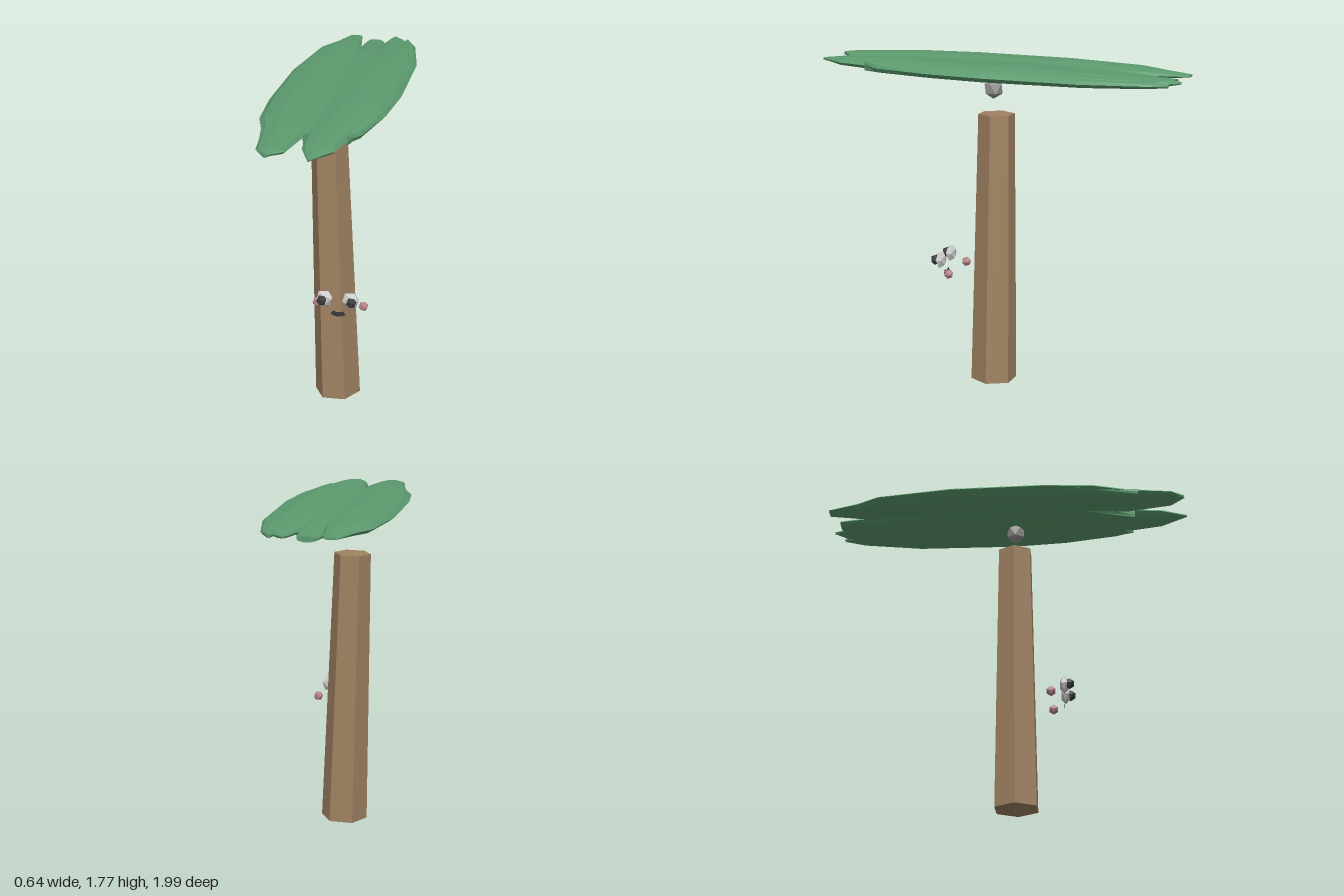
import * as THREE from 'three';

const mat = (color, side = THREE.FrontSide) =>
  new THREE.MeshStandardMaterial({ color, flatShading: true, side });

function add(group, name, geometry, material, x = 0, y = 0, z = 0) {
  const mesh = new THREE.Mesh(geometry, material);
  mesh.name = name;
  mesh.position.set(x, y, z);
  group.add(mesh);
  return mesh;
}

// Closed leaf lofted along z; each station is [z, xMin, xMax]
function leafGeometry(stations, height) {
  const sides = 10, pos = [], index = [];
  for (const [z, a, b] of stations) {
    const h = height * Math.sqrt(Math.max(0.02, 1 - z * z));
    for (let i = 0; i < sides; i++) {
      const t = (i / sides) * Math.PI * 2;
      pos.push((a + b) / 2 + Math.cos(t) * (b - a) / 2, Math.sin(t) * h, z);
    }
  }
  const last = stations.length - 1;
  for (let s = 0; s < last; s++) {
    for (let i = 0; i < sides; i++) {
      const p = s * sides + i, q = s * sides + (i + 1) % sides;
      index.push(p, q, q + sides, p, q + sides, p + sides);
    }
  }
  // End caps
  for (let i = 1; i < sides - 1; i++) {
    index.push(0, i + 1, i);
    index.push(last * sides, last * sides + i, last * sides + i + 1);
  }
  const g = new THREE.BufferGeometry();
  g.setAttribute('position', new THREE.Float32BufferAttribute(pos, 3));
  g.setIndex(index);
  g.computeVertexNormals();
  return g;
}

export function createModel() {
  const model = new THREE.Group();
  model.name = 'palmTree';

  const bark = mat(0xa08262), green = mat(0x5c9a6e), nutGrey = mat(0x999393);
  const white = mat(0xcccccc), dark = mat(0x3a3a3a), pink = mat(0xb58488);

  // Leaning six-sided trunk
  const trunk = add(model, 'trunk',
    new THREE.CylinderGeometry(0.098, 0.125, 1.472, 6, 1, false, Math.PI / 6),
    bark, -0.027, 0.74, 0.037);
  trunk.rotation.z = 0.03;

  // Nut floating between the trunk and the leaves
  const nut = add(model, 'coconut', new THREE.IcosahedronGeometry(0.054), nutGrey, -0.006, 1.617, 0.037);
  nut.rotation.z = -0.5;

  // Long flat leaves of the crown
  const crown = new THREE.Group();
  crown.name = 'crown';
  model.add(crown);
  add(crown, 'rightLeaf', leafGeometry([
    [-0.99, -0.16, -0.09], [-0.82, -0.21, -0.06], [-0.7, -0.275, -0.03],
    [-0.3, -0.325, 0], [0.2, -0.325, 0.01], [0.48, -0.3, 0],
    [0.66, -0.24, -0.02], [0.9, -0.205, -0.06], [0.97, -0.15, -0.14],
  ], 0.042), green, 0, 1.73, 0);
  add(crown, 'leftLeaf', leafGeometry([
    [-1, 0.095, 0.105], [-0.94, 0.078, 0.16], [-0.74, 0.035, 0.24],
    [-0.5, -0.01, 0.29], [0, -0.03, 0.315], [0.3, -0.03, 0.29],
    [0.66, -0.02, 0.2], [0.85, 0.005, 0.165], [0.99, 0.065, 0.075],
  ], 0.045), green, 0, 1.732, 0);
  add(crown, 'middleLeaf', leafGeometry([
    [-0.945, -0.05, 0.045], [-0.7, -0.08, 0.1], [-0.3, -0.16, 0.16],
    [0.1, -0.18, 0.17], [0.5, -0.09, 0.07], [0.7, -0.025, -0.015],
  ], 0.046), green, 0, 1.716, 0);
  add(crown, 'outerRightLeaf', leafGeometry([
    [-0.6, -0.27, -0.15], [-0.1, -0.31, -0.12], [0.4, -0.3, -0.12],
    [0.72, -0.235, -0.2],
  ], 0.032), green, 0, 1.722, 0);
  add(crown, 'outerLeftLeaf', leafGeometry([
    [-0.955, 0.172, 0.185], [-0.85, 0.14, 0.24], [-0.53, 0.1, 0.305],
    [0, 0.1, 0.32], [0.3, 0.1, 0.3], [0.6, 0.14, 0.24], [0.69, 0.18, 0.19],
  ], 0.035), green, 0, 1.728, 0);

  // Face floating in front of the trunk, mirrored about its own centre
  const face = new THREE.Group();
  face.name = 'face';
  face.position.set(0.05, 0, 0);
  model.add(face);
  for (const [side, s] of [['left', 1], ['right', -1]]) {
    const eye = add(face, side + 'Eye', new THREE.IcosahedronGeometry(0.049), white, s * 0.07, 0.688, 0.293);
    eye.scale.z = 0.55;
    eye.rotation.z = 0.1;
    add(face, side + 'Pupil', new THREE.IcosahedronGeometry(0.029), dark, s * 0.08, 0.688, 0.32);
    add(face, side + 'Cheek', new THREE.IcosahedronGeometry(0.027), pink, s * 0.125, 0.63, 0.226);
  }
  // Flat smiling mouth
  add(face, 'mouth',
    new THREE.RingGeometry(0.038, 0.064, 6, 1, -Math.PI / 2 - 0.7, 1.4),
    mat(0x3a3a3a, THREE.DoubleSide), 0.002, 0.65, 0.29);

  return model;
}
